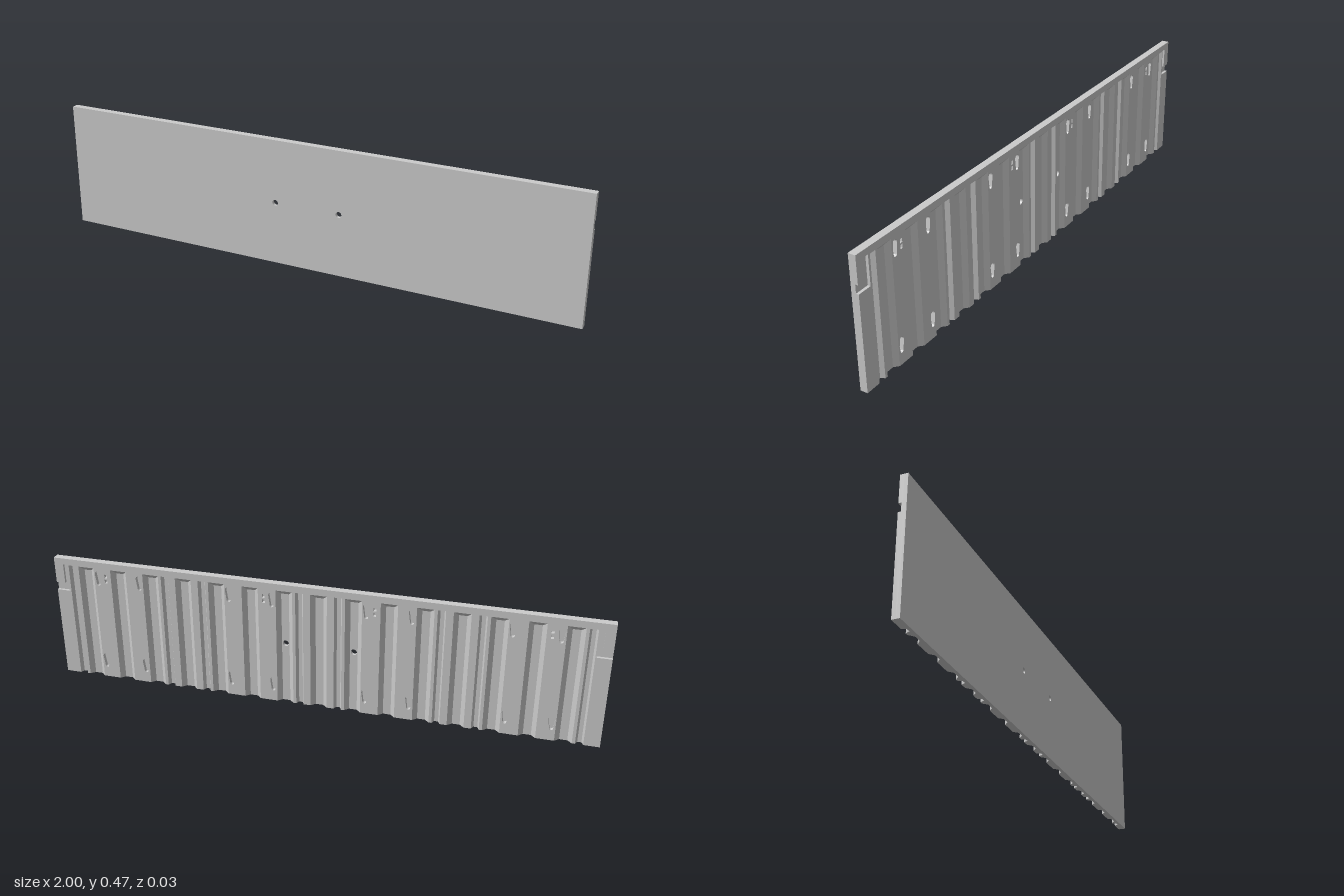
import * as THREE from 'three';

const H = 0.473, BACK = -0.013, FLOOR = 0.002, FRONT = 0.014;
const TOP = 0.448;                       // upper end of the grooves
const SLOT = { x0: 0.948, x1: 0.966, y0: 0.345, y1: 0.375, y2: 0.45 };
const material = new THREE.MeshStandardMaterial({ color: 0xcccccc, flatShading: true });

const v = (x, y) => new THREE.Vector2(x, y);

// Grooves: wide ones every 0.125, narrow ones flanking every half unit
function grooveList() {
  const list = [];
  for (let i = -7; i <= 7; i++) list.push({ x: i * 0.125, w: 0.03, slope: 0.016 });
  for (const c of [-1, -0.5, 0, 0.5, 1])
    for (const s of [-1, 1]) {
      const x = c + s * 0.07;
      if (Math.abs(x) < 1) list.push({ x, w: 0.014, slope: 0.007 });
    }
  return list.sort((a, b) => a.x - b.x);
}

// Counter-clockwise outline of the ribbed layer; k = 0 at the back, 1 at the groove floors
function outline(k) {
  const pts = [v(-1, 0)];
  for (const g of grooveList()) {
    const w = g.w - g.slope * k, t = TOP - g.slope * k;
    pts.push(v(g.x - w, 0), v(g.x - w, t), v(g.x + w, t), v(g.x + w, 0));
  }
  const { x0, x1, y0, y1, y2 } = SLOT;
  const side = [v(1, 0), v(1, y0), v(x0, y0), v(x0, y2), v(x1, y2), v(x1, y1), v(1, y1), v(1, H)];
  pts.push(...side);
  pts.push(...side.slice(1).reverse().map(p => v(-p.x, p.y)));
  return pts;
}

// Clockwise teardrop: round head at the top, small round foot
function keyhole(x, y) {
  const pts = [];
  for (let i = 0; i <= 8; i++) {
    const a = Math.PI * (1 - i / 8);
    pts.push(v(x + 0.012 * Math.cos(a), y + 0.016 + 0.012 * Math.sin(a)));
  }
  for (let i = 0; i <= 6; i++) {
    const a = -Math.PI * i / 6;
    pts.push(v(x + 0.007 * Math.cos(a), y - 0.022 + 0.007 * Math.sin(a)));
  }
  return pts;
}

// Clockwise rectangle
function rect(x, y, w, h) {
  return [v(x - w, y - h), v(x - w, y + h), v(x + w, y + h), v(x + w, y - h)];
}

// Walls joining a loop on the back to a matching loop on the floor
function walls(back, floor) {
  const pos = [];
  back.forEach((a, i) => {
    const j = (i + 1) % back.length, b = back[j], c = floor[j], d = floor[i];
    pos.push(a.x, a.y, BACK, b.x, b.y, BACK, c.x, c.y, FLOOR);
    pos.push(a.x, a.y, BACK, c.x, c.y, FLOOR, d.x, d.y, FLOOR);
  });
  const geo = new THREE.BufferGeometry();
  geo.setAttribute('position', new THREE.Float32BufferAttribute(pos, 3));
  geo.computeVertexNormals();
  return geo;
}

export function createModel() {
  const group = new THREE.Group();
  const add = (name, geo) => {
    const mesh = new THREE.Mesh(geo, material);
    mesh.name = name;
    group.add(mesh);
    return mesh;
  };

  // Smooth front plate with two through holes
  const plate = new THREE.Shape([v(-1, 0), v(1, 0), v(1, H), v(-1, H)]);
  for (const x of [-0.125, 0.125])
    plate.holes.push(new THREE.Path().absarc(x, 0.236, 0.011, 0, Math.PI * 2, true));
  add('frontPlate', new THREE.ExtrudeGeometry(plate, {
    depth: FRONT - FLOOR, bevelEnabled: false, curveSegments: 12,
  }).translate(0, 0, FLOOR));

  // Pockets in the back: keyholes and small double recesses
  const pockets = [];
  for (const c of [-0.75, -0.25, 0.25, 0.75])
    for (const s of [-1, 1])
      for (const y of [0.07, 0.41]) pockets.push(keyhole(c + s * 0.08, y));
  for (const x of [-0.8, -0.2, 0.2, 0.8])
    for (const y of [0.401, 0.421]) pockets.push(rect(x, y, 0.005, 0.007));

  // Back face of the ribs, turned to face -z
  const backLoop = outline(0);
  const face = new THREE.Shape(backLoop);
  face.holes = pockets.map(p => new THREE.Path(p));
  const faceGeo = new THREE.ShapeGeometry(face);
  faceGeo.index.array.reverse();
  faceGeo.translate(0, 0, BACK);
  faceGeo.computeVertexNormals();
  add('ribFaces', faceGeo);

  // Outer edge with sloped groove sides, and pocket sides
  add('ribSides', walls(backLoop, outline(1)));
  for (const p of pockets) add('pocketSides', walls(p, p));

  // Raised floors of the L-shaped end slots
  const { x0, x1, y0, y1, y2 } = SLOT, depth = 0.005;
  for (const s of [-1, 1]) {
    for (const [xa, xb, ya, yb] of [[x0, 1, y0, y1], [x0, x1, y1, y2]]) {
      const box = new THREE.BoxGeometry(xb - xa, yb - ya, depth);
      add('endSlotFloor', box).position.set(s * (xa + xb) / 2, (ya + yb) / 2, FLOOR - depth / 2);
    }
  }
  return group;
}
